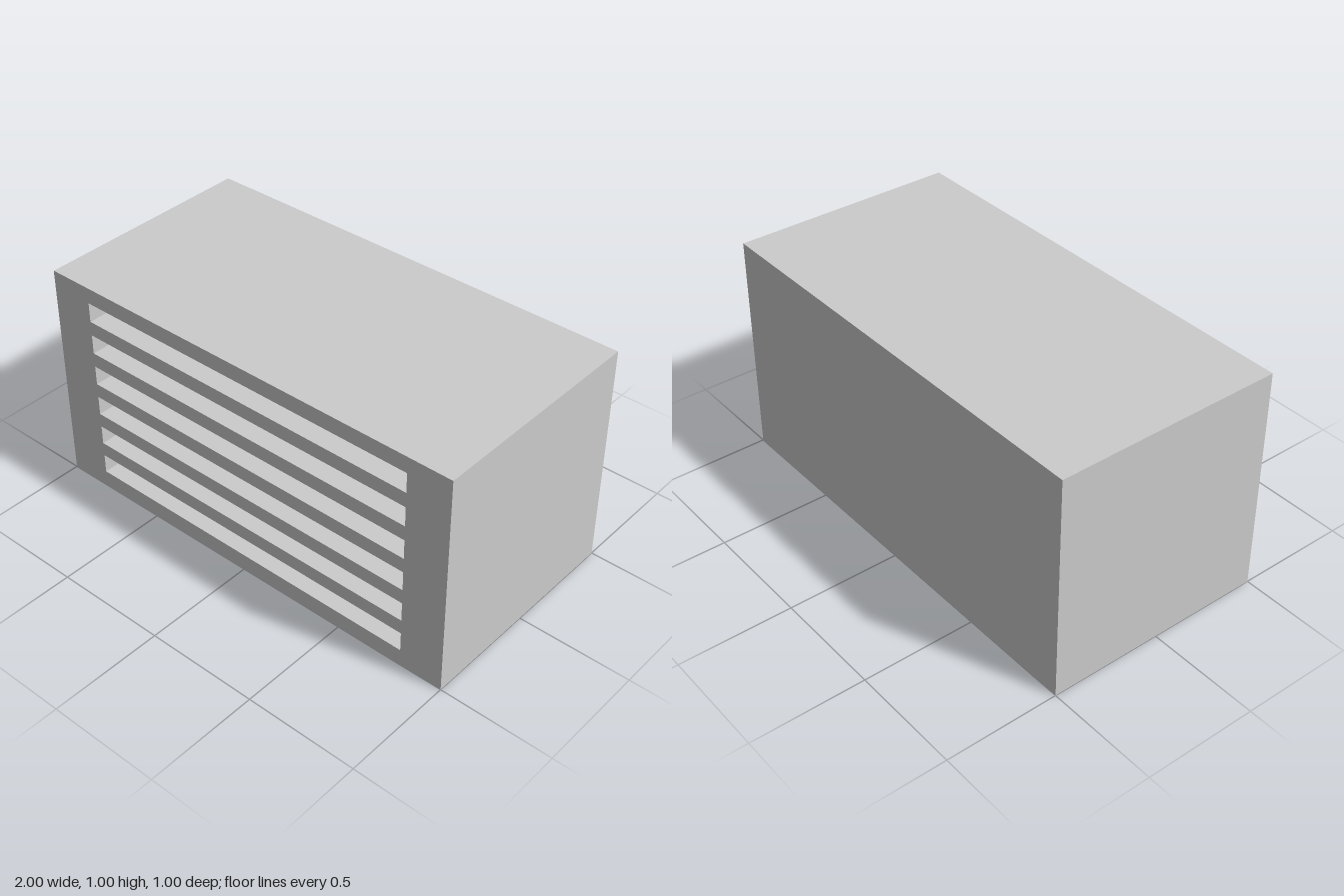
import * as THREE from 'three';

const WIDTH = 2, HEIGHT = 1, DEPTH = 1;
const SLOT = { count: 6, width: 1.61, height: 0.088, depth: 0.8, first: 0.12, pitch: 0.153 };

// Box without its +z face
function openBox(w, h, d) {
  const geo = new THREE.BoxGeometry(w, h, d);
  const index = Array.from(geo.index.array);
  index.splice(24, 6);
  geo.setIndex(index);
  geo.clearGroups();
  return geo;
}

function rectangle(target, w, h, cy) {
  target.moveTo(-w / 2, cy - h / 2);
  target.lineTo(w / 2, cy - h / 2);
  target.lineTo(w / 2, cy + h / 2);
  target.lineTo(-w / 2, cy + h / 2);
  target.closePath();
  return target;
}

export function createModel() {
  const model = new THREE.Group();
  model.name = 'slottedCabinet';
  const material = new THREE.MeshStandardMaterial({ color: 0xcccccc, flatShading: true });
  const add = (name, geometry, x, y, z) => {
    const mesh = new THREE.Mesh(geometry, material);
    mesh.name = name;
    mesh.position.set(x, y, z);
    model.add(mesh);
  };

  // Outer casing: sides, top, bottom and back
  add('casing', openBox(WIDTH, HEIGHT, DEPTH), 0, HEIGHT / 2, 0);

  // Front panel pierced by the slots, each backed by an inward-facing pocket
  const panel = rectangle(new THREE.Shape(), WIDTH, HEIGHT, HEIGHT / 2);
  for (let i = 0; i < SLOT.count; i++) {
    const y = SLOT.first + i * SLOT.pitch;
    panel.holes.push(rectangle(new THREE.Path(), SLOT.width, SLOT.height, y));

    const pocket = openBox(SLOT.width, SLOT.height, SLOT.depth);
    pocket.scale(-1, 1, 1); // mirrored so the faces point inward
    pocket.computeVertexNormals();
    add(`slot${i + 1}`, pocket, 0, y, DEPTH / 2 - SLOT.depth / 2);
  }
  add('frontPanel', new THREE.ShapeGeometry(panel), 0, 0, DEPTH / 2);

  return model;
}
